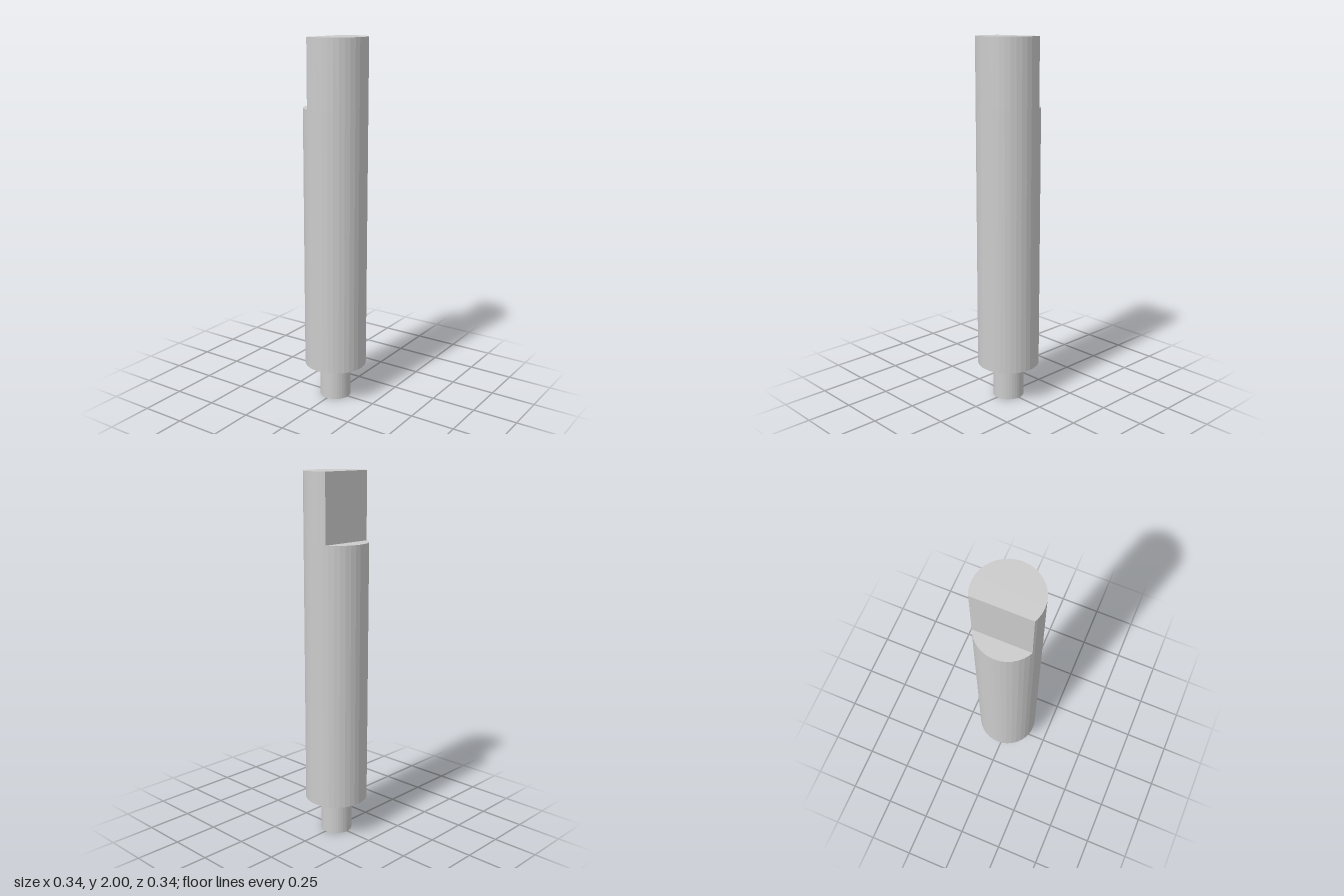
import * as THREE from 'three';

const SIDES = 36;
const RADIUS = 0.172;
const PIN_RADIUS = 0.086;
const SHOULDER_Y = 0.197;
const LEDGE_Y = 1.635;
const TOP_Y = 2;
const FLAT_X = -0.073;

export function createModel() {
  const group = new THREE.Group();
  const material = new THREE.MeshStandardMaterial({ color: 0xcccccc, flatShading: true });

  const add = (name, geometry, y) => {
    const mesh = new THREE.Mesh(geometry, material);
    mesh.name = name;
    mesh.position.y = y;
    group.add(mesh);
  };
  const rod = (name, radius, y0, y1) =>
    add(name, new THREE.CylinderGeometry(radius, radius, y1 - y0, SIDES), (y0 + y1) / 2);

  // Locating pin and main shaft
  rod('pin', PIN_RADIUS, 0, SHOULDER_Y);
  rod('shaft', RADIUS, SHOULDER_Y, LEDGE_Y);

  // D-shaped tip: the shaft's polygon clipped by the flat on the right side
  const outline = [];
  const corner = (i) => {
    const a = (i / SIDES) * Math.PI * 2;
    return new THREE.Vector2(RADIUS * Math.cos(a), RADIUS * Math.sin(a));
  };
  for (let i = 0; i < SIDES; i++) {
    const p = corner(i), q = corner(i + 1);
    if (p.x >= FLAT_X) outline.push(p);
    if ((p.x >= FLAT_X) !== (q.x >= FLAT_X)) {
      outline.push(p.clone().lerp(q, (FLAT_X - p.x) / (q.x - p.x)));
    }
  }
  const tip = new THREE.ExtrudeGeometry(new THREE.Shape(outline), {
    depth: TOP_Y - LEDGE_Y,
    bevelEnabled: false,
  });
  tip.rotateX(-Math.PI / 2);
  add('flattenedTip', tip, LEDGE_Y);

  return group;
}
